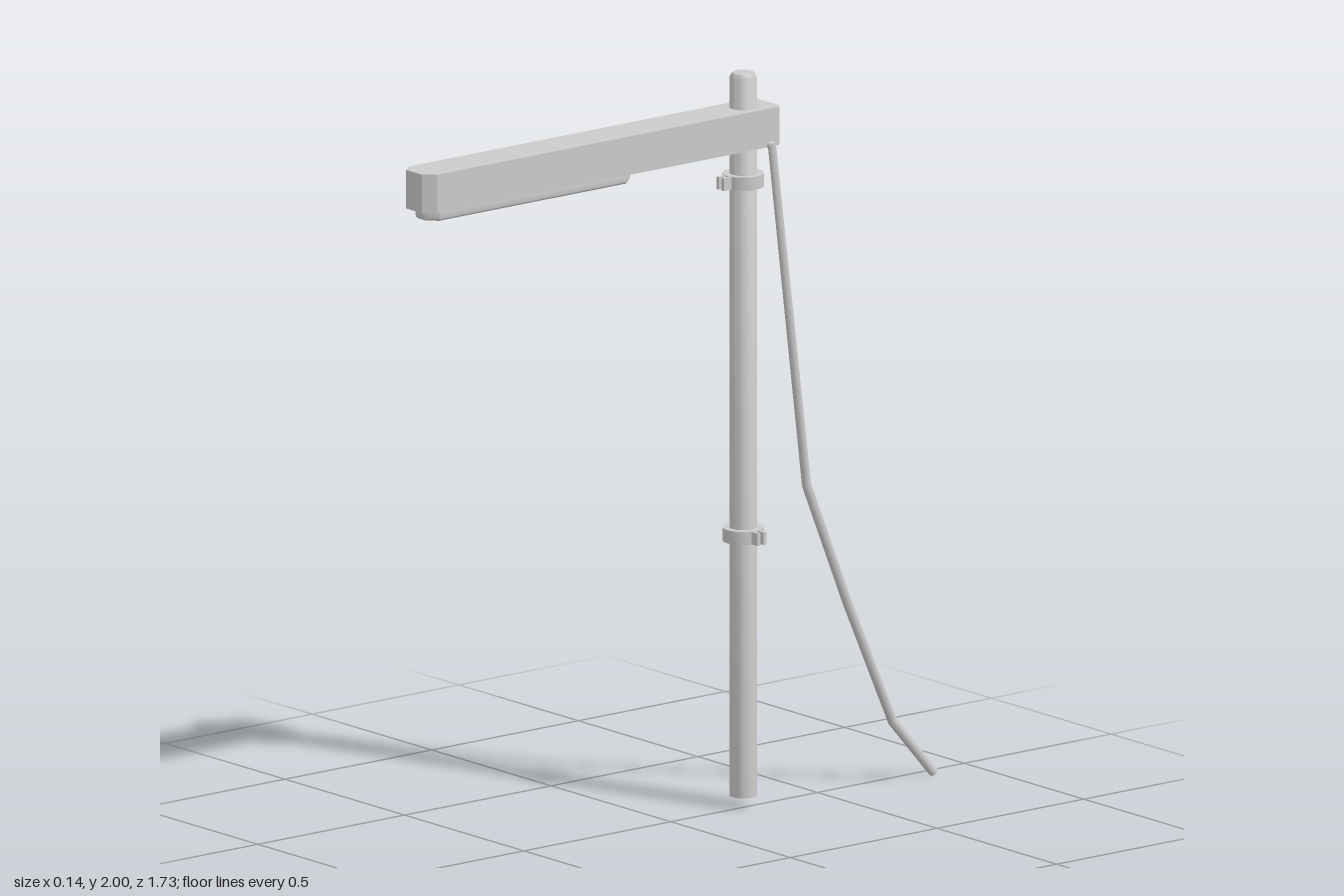
import * as THREE from 'three';
import { toCreasedNormals } from 'three/addons/utils/BufferGeometryUtils.js';

const PX = -0.01, PZ = -0.255; // pole axis
const mat = new THREE.MeshStandardMaterial({ color: 0xcccccc });

function add(parent, name, geometry, crease = 0.6) {
  const mesh = new THREE.Mesh(toCreasedNormals(geometry, crease), mat);
  mesh.name = name;
  parent.add(mesh);
  return mesh;
}

// Extrudes a plan outline of [x, z] points downwards from y = top
function plan(points, top, height, bevel = 0) {
  const shape = new THREE.Shape(points.map(p => new THREE.Vector2(...p)));
  const g = new THREE.ExtrudeGeometry(shape, {
    depth: height - 2 * bevel, bevelEnabled: bevel > 0, bevelThickness: bevel,
    bevelSize: bevel, bevelOffset: -bevel, bevelSegments: 3,
  });
  return g.rotateX(Math.PI / 2).translate(0, top - bevel, 0);
}

// Rectangle outline with its corners cut: (bx, bz) at the back, (fx, fz) at the front
function cutRect(x0, x1, z0, z1, bx, bz, fx, fz) {
  return [[x0 + bx, z0], [x1 - bx, z0], [x1, z0 + bz], [x1, z1 - fz],
    [x1 - fx, z1], [x0 + fx, z1], [x0, z1 - fz], [x0, z0 + bz]];
}

// Straight-segment path with mitred corners
class Polyline extends THREE.Curve {
  constructor(points) { super(); this.points = points; }
  getPoint(t, target = new THREE.Vector3()) {
    const n = this.points.length - 1;
    const i = Math.min(Math.floor(t * n + 1e-6), n - 1);
    return target.lerpVectors(this.points[i], this.points[i + 1], t * n - i);
  }
  getPointAt(u, target) { return this.getPoint(u, target); }
  getTangentAt(u, target = new THREE.Vector3()) {
    const p = this.points, n = p.length - 1, i = Math.round(u * n);
    target.set(0, 0, 0);
    if (i > 0) target.add(p[i].clone().sub(p[i - 1]).normalize());
    if (i < n) target.add(p[i + 1].clone().sub(p[i]).normalize());
    return target.normalize();
  }
}

// Split ring round the pole with a pair of clamping tabs
function clamp(name, y, turn) {
  const group = new THREE.Group();
  group.name = name;
  const profile = [[0.033, -0.018], [0.055, -0.018], [0.055, 0.018], [0.033, 0.018]];
  add(group, 'clampRing', new THREE.LatheGeometry(profile.map(p => new THREE.Vector2(...p)), 24));
  for (const s of [-1, 1]) {
    add(group, 'clampTab', new THREE.BoxGeometry(0.01, 0.034, 0.03).translate(s * 0.01, 0, 0.063));
  }
  group.position.set(PX, y, PZ);
  group.rotation.y = turn;
  return group;
}

export function createModel() {
  const model = new THREE.Group();
  model.name = 'streetLamp';

  // Pole with a chamfered top
  const pole = [[0, 0.03], [0.036, 0.03], [0.036, 1.988], [0.029, 2], [0, 2]];
  add(model, 'pole', new THREE.LatheGeometry(pole.map(p => new THREE.Vector2(...p)), 24)
    .translate(PX, 0, PZ));

  // Horizontal arm and the light panel below it
  add(model, 'arm', plan(cutRect(-0.07, 0.047, -0.342, 0.865, 0.012, 0.012, 0.025, 0.032), 1.905, 0.105));
  add(model, 'lightPanel', plan(cutRect(-0.058, 0.035, 0.145, 0.845, 0.028, 0.03, 0.028, 0.03), 1.815, 0.044, 0.012), 0.5);

  // Clamps
  model.add(clamp('upperClamp', 1.708, 0));
  model.add(clamp('lowerClamp', 0.743, Math.PI / 2));

  // Cable hanging behind the pole
  const path = [[0.025, 1.808, -0.296], [0.05, 1.805, -0.304], [0.05, 0.86, -0.422],
    [0.05, 0.52, -0.56], [0.05, 0.17, -0.715], [0.05, 0.009, -0.855]]
    .map(p => new THREE.Vector3(...p));
  add(model, 'cable', new THREE.TubeGeometry(new Polyline(path), path.length - 1, 0.013, 8), 0.9);
  const end = add(model, 'cableEnd', new THREE.CircleGeometry(0.013, 8));
  end.position.copy(path[5]);
  end.lookAt(path[5].clone().multiplyScalar(2).sub(path[4]));

  return model;
}
